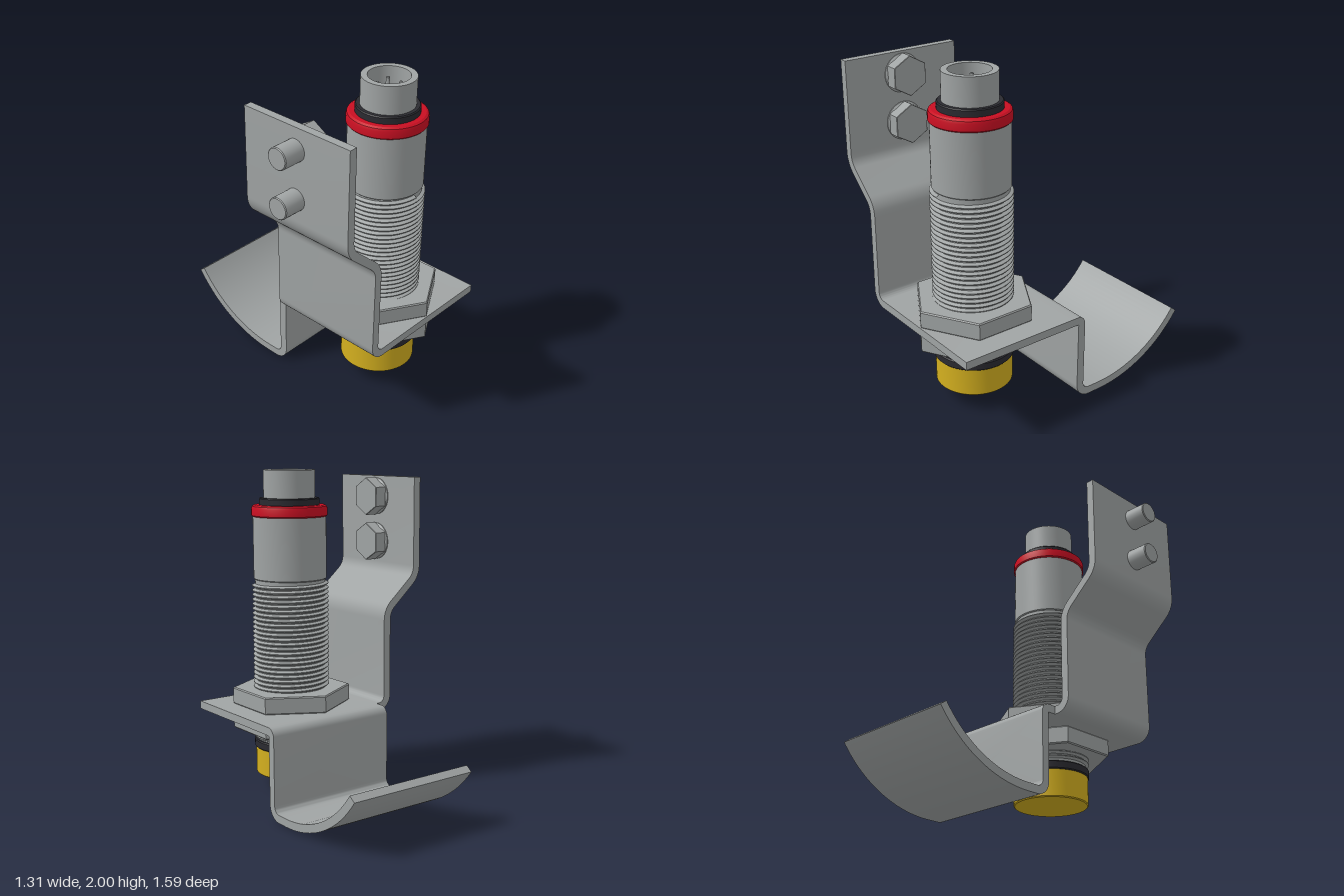
import * as THREE from 'three';
import { toCreasedNormals } from 'three/addons/utils/BufferGeometryUtils.js';

const material = (name, color) => {
  const m = new THREE.MeshStandardMaterial({ color });
  m.name = name;
  return m;
};

// Turned part from [radius, y] points, listed from the bottom up.
function turned(points, sides = 64) {
  const profile = points.map(([r, y]) => new THREE.Vector2(r, y));
  return toCreasedNormals(new THREE.LatheGeometry(profile, sides), 0.5);
}

// Solid disc with small chamfers; six sides make a hexagon.
function disc(r, y0, y1, chamfer = 0.006, sides = 64) {
  return turned([[0, y0], [r - chamfer, y0], [r, y0 + chamfer],
    [r, y1 - chamfer], [r - chamfer, y1], [0, y1]], sides);
}

// Bent sheet: a centreline of [u, y, bendRadius] corners, thickened and extruded.
function bentSheet(corners, thickness, width) {
  const line = [];
  corners.forEach(([u, y, r], i) => {
    const p = new THREE.Vector2(u, y);
    if (!r) { line.push(p); return; }
    const a = new THREE.Vector2(...corners[i - 1].slice(0, 2)).sub(p).normalize();
    const b = new THREE.Vector2(...corners[i + 1].slice(0, 2)).sub(p).normalize();
    const half = Math.acos(a.dot(b)) / 2;
    const centre = p.clone().add(a.clone().add(b).normalize().multiplyScalar(r / Math.sin(half)));
    const start = p.clone().addScaledVector(a, r / Math.tan(half)).sub(centre);
    const turn = (Math.PI - 2 * half) * Math.sign(b.cross(a));
    const steps = r > 0.5 ? 24 : 10;
    for (let k = 0; k <= steps; k++) {
      line.push(start.clone().rotateAround(new THREE.Vector2(), turn * k / steps).add(centre));
    }
  });
  const side = (s) => line.map((p, i) => {
    const t = line[Math.min(i + 1, line.length - 1)].clone().sub(line[Math.max(i - 1, 0)]).normalize();
    return new THREE.Vector2(p.x - t.y * s, p.y + t.x * s);
  });
  const shape = new THREE.Shape([...side(thickness / 2), ...side(-thickness / 2).reverse()]);
  return toCreasedNormals(new THREE.ExtrudeGeometry(shape, { depth: width, bevelEnabled: false }), 0.5);
}

// Helical screw thread: a zigzag profile sheared by one pitch per turn.
function thread(y0, y1, turns, rIn, rOut) {
  const pitch = (y1 - y0) / (turns + 1);
  const points = [];
  for (let i = 0; i < turns; i++) {
    const y = y0 + i * pitch;
    points.push(new THREE.Vector2(rIn, y), new THREE.Vector2(rOut, y + pitch * 0.42),
      new THREE.Vector2(rOut, y + pitch * 0.58));
  }
  points.push(new THREE.Vector2(rIn, y0 + turns * pitch));
  const geo = new THREE.LatheGeometry(points, 64);
  const pos = geo.attributes.position;
  for (let i = 0; i < pos.count; i++) {
    const turn = Math.floor(i / points.length) / 64;
    pos.setY(i, pos.getY(i) + pitch * turn);
  }
  return toCreasedNormals(geo, 0.5);
}

export function createModel() {
  const model = new THREE.Group();
  model.name = 'sensorOnBracket';
  const steel = material('steel grey', 0xa0a4a4);
  const black = material('black plastic', 0x2b2b31);
  const red = material('red ring', 0xc90f22);
  const yellow = material('yellow cap', 0xd4b01f);

  const add = (parent, name, geometry, mat) => {
    const mesh = new THREE.Mesh(geometry, mat);
    mesh.name = name;
    parent.add(mesh);
    return mesh;
  };

  // Bracket: mounting plate with side arm, and the curved rear guard
  const bracket = new THREE.Group();
  bracket.name = 'bracket';
  model.add(bracket);
  const t = 0.049;
  const arm = bentSheet([[0.655, 0.53], [-0.265, 0.53, 0.065], [-0.265, 1.135, 0.13],
    [-0.5, 1.342, 0.13], [-0.5, 1.95]], t, 0.737);
  add(bracket, 'plateAndArm', arm.translate(0, 0, 0.06), steel);
  const guard = bentSheet([[0.06, 0.53], [-0.018, 0.53, 0.03], [-0.018, 0.028, 0.065],
    [-0.539, 0.028, 0.77], [-0.778, 0.345]], t, 0.837);
  add(bracket, 'rearGuard', guard.rotateY(-Math.PI / 2).translate(0.655, 0, 0), steel);

  // Screws through the top of the arm
  for (const y of [1.82, 1.53]) {
    const screw = new THREE.Group();
    screw.name = 'screw';
    screw.position.set(-0.5, y, 0.43);
    screw.rotation.z = -Math.PI / 2;
    add(screw, 'shank', disc(0.064, -0.16, 0.02, 0.005, 32), steel);
    add(screw, 'flange', turned([[0, 0.02], [0.116, 0.02], [0.116, 0.03], [0.1, 0.045], [0, 0.045]], 40), steel);
    add(screw, 'hexHead', disc(0.12, 0.035, 0.115, 0.003, 6).rotateY(Math.PI / 2), steel);
    model.add(screw);
  }

  // Sensor standing in the plate
  const sensor = new THREE.Group();
  sensor.name = 'sensor';
  sensor.position.set(0.207, 0, 0.43);
  model.add(sensor);
  add(sensor, 'sensingCap', disc(0.227, 0.11, 0.29), yellow);
  add(sensor, 'lowerSeal', disc(0.235, 0.28, 0.332), black);
  add(sensor, 'threadCore', disc(0.216, 0.33, 1.34, 0.001), steel);
  add(sensor, 'thread', thread(0.33, 1.335, 34, 0.212, 0.235), steel);
  add(sensor, 'barrel', disc(0.224, 1.338, 1.73), steel);
  add(sensor, 'indicatorRing', turned([[0, 1.72], [0.225, 1.72], [0.232, 1.727], [0.232, 1.768],
    [0.227, 1.782], [0.214, 1.79], [0, 1.79]]), red);
  add(sensor, 'upperSeal', disc(0.184, 1.78, 1.832), black);
  add(sensor, 'lowerNut', disc(0.364, 0.4, 0.507, 0.007, 6), steel);
  add(sensor, 'upperNut', disc(0.364, 0.554, 0.66, 0.007, 6), steel);

  // Plug socket with four pins
  add(sensor, 'socketWall', turned([[0.157, 1.82], [0.157, 2], [0.12, 2], [0.12, 1.84]]), steel);
  add(sensor, 'socketFloor', disc(0.121, 1.835, 1.86, 0.001), black);
  for (const x of [-0.046, 0.046]) {
    for (const z of [-0.046, 0.046]) {
      add(sensor, 'pin', disc(0.011, 1.85, 1.96, 0.004, 12).translate(x, 0, z), steel);
    }
  }
  return model;
}
